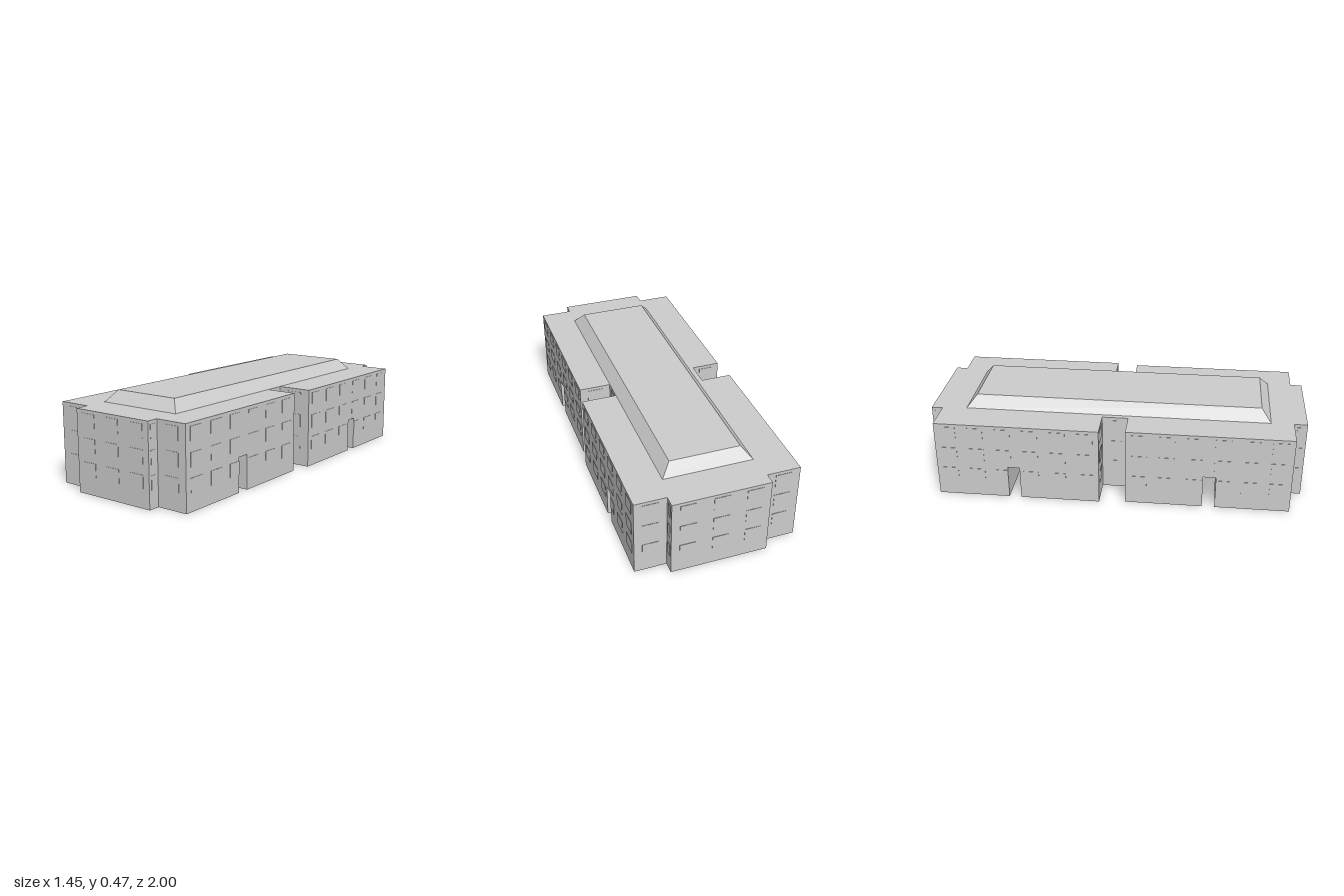
import * as THREE from 'three';

const EAVES = 0.413, RIDGE = 0.472, DOOR_H = 0.177;
// Passages through the block, as ranges along its length
const PASSAGES = [[-0.537, -0.475], [0.467, 0.532]];

// Floor plan (across, along), starting at the back
const BACK = [[-0.42, -0.909], [-0.248, -0.909], [-0.248, -0.966], [0.244, -0.966], [0.244, -0.907], [0.405, -0.907]];
const RIGHT_NOTCH = [[0.405, -0.052], [0.224, -0.052], [0.224, 0.058], [0.387, 0.058]];
const FRONT = [[0.387, 0.921], [0.221, 0.921], [0.221, 0.98], [-0.233, 0.98], [-0.233, 0.912], [-0.406, 0.912]];
const LEFT_NOTCH = [[-0.406, 0.069], [-0.26, 0.069], [-0.26, -0.064], [-0.42, -0.064]];
const PLAN = [...BACK, ...RIGHT_NOTCH, ...FRONT, ...LEFT_NOTCH];

// Upright prism over a plan outline
function prism(points, y0, y1) {
  const shape = new THREE.Shape(points.map(([u, v]) => new THREE.Vector2(u, -v)));
  const geo = new THREE.ExtrudeGeometry(shape, { depth: y1 - y0, bevelEnabled: false });
  return geo.rotateX(-Math.PI / 2).translate(0, y0, 0);
}

export function createModel() {
  const model = new THREE.Group();
  model.name = 'building';
  const block = new THREE.Group();
  block.name = 'block';
  block.rotation.y = -Math.PI / 8;
  model.add(block);

  const grey = new THREE.MeshStandardMaterial({ color: 0xcccccc });
  grey.name = 'light grey';
  const add = (geo, name, parent = block) => {
    const mesh = new THREE.Mesh(geo, grey);
    mesh.name = name;
    parent.add(mesh);
    return mesh;
  };

  // Upper storeys, and the ground floor split by the two passages
  const [p, q] = PASSAGES;
  add(prism(PLAN, DOOR_H, EAVES), 'upperStoreys');
  add(prism([...BACK, [0.405, p[0]], [-0.42, p[0]]], 0, DOOR_H), 'groundFloorBack');
  add(prism([[-0.42, p[1]], [0.405, p[1]], ...RIGHT_NOTCH, [0.387, q[0]], [-0.406, q[0]], ...LEFT_NOTCH],
    0, DOOR_H), 'groundFloorMiddle');
  add(prism([[-0.406, q[1]], [0.387, q[1]], ...FRONT], 0, DOOR_H), 'groundFloorFront');

  // Low roof with sloping sides
  const roof = new THREE.BoxGeometry(0.457, RIDGE - EAVES, 1.578);
  const pos = roof.attributes.position;
  for (let i = 0; i < pos.count; i++) {
    if (pos.getY(i) > 0) {
      pos.setX(i, pos.getX(i) - Math.sign(pos.getX(i)) * 0.049);
      pos.setZ(i, pos.getZ(i) - Math.sign(pos.getZ(i)) * 0.049);
    }
  }
  roof.computeVertexNormals();
  add(roof, 'roof').position.set(-0.006, (EAVES + RIDGE) / 2, 0.007);

  // Three rows of thin window plates on every wall
  const windows = new THREE.Group();
  windows.name = 'windows';
  block.add(windows);
  PLAN.forEach(([u0, v0], k) => {
    const [u1, v1] = PLAN[(k + 1) % PLAN.length];
    const len = Math.hypot(u1 - u0, v1 - v0);
    const du = (u1 - u0) / len, dv = (v1 - v0) / len;
    const count = Math.max(1, Math.round(len / 0.145));
    const width = Math.min(0.08, len * 0.5);
    for (let i = 0; i < count; i++) {
      [0.125, 0.243, 0.362].forEach((y, row) => {
        let lo = (len * (i + 0.5)) / count - width / 2;
        let hi = lo + width;
        // Trim ground floor windows beside a passage
        if (row === 0 && Math.abs(dv) > 0.5 && len > 0.5) {
          for (const passage of PASSAGES) {
            const ends = passage.map((v) => (v - v0) * dv).sort((a, b) => a - b);
            if (lo < ends[1] && hi > ends[0]) {
              if (lo + hi < ends[0] + ends[1]) hi = ends[0];
              else lo = ends[1];
            }
          }
        }
        const mid = (lo + hi) / 2;
        const pane = add(new THREE.BoxGeometry(hi - lo, 0.068, 0.004), 'window', windows);
        pane.position.set(u0 + du * mid, y, v0 + dv * mid);
        pane.rotation.y = Math.atan2(dv, -du);
      });
    }
  });

  return model;
}
